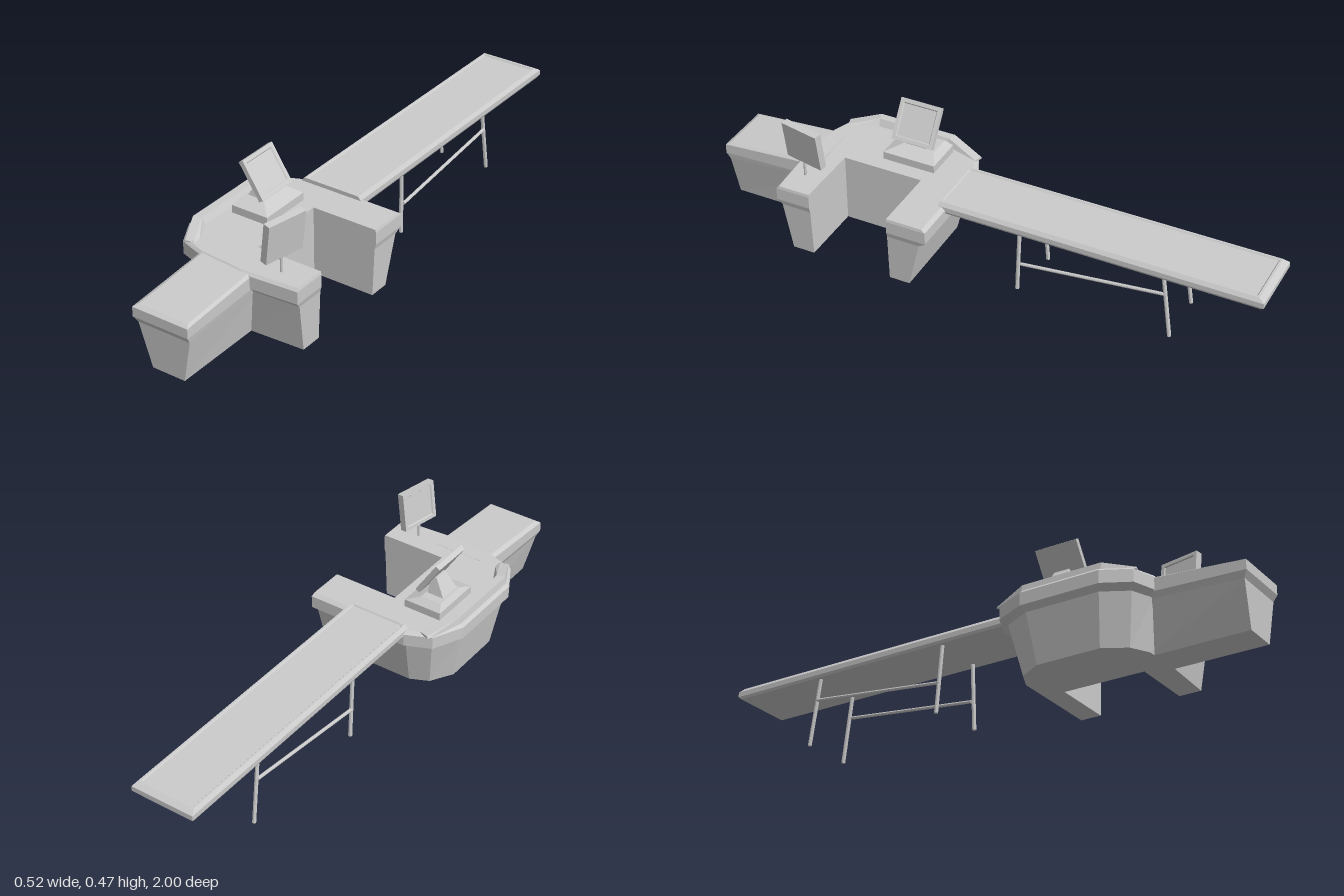
import * as THREE from 'three';

const grey = new THREE.MeshStandardMaterial({ color: 0xcccccc, flatShading: true });

// Joins rings of points (bottom to top, counterclockwise from above) and caps both ends
function loft(name, rings) {
  const pos = [];
  const tri = (...pts) => pts.forEach((p) => pos.push(...p));
  const n = rings[0].length;
  for (let r = 0; r < rings.length - 1; r++) {
    for (let i = 0; i < n; i++) {
      const j = (i + 1) % n, a = rings[r], b = rings[r + 1];
      tri(a[i], a[j], b[j]);
      tri(a[i], b[j], b[i]);
    }
  }
  const cap = (ring, up) => {
    const flat = ring.map((p) => new THREE.Vector2(p[0], -p[2]));
    for (const [a, b, c] of THREE.ShapeUtils.triangulateShape(flat, [])) {
      if (up) tri(ring[a], ring[b], ring[c]);
      else tri(ring[a], ring[c], ring[b]);
    }
  };
  cap(rings[0], false);
  cap(rings[rings.length - 1], true);
  const geo = new THREE.BufferGeometry();
  geo.setAttribute('position', new THREE.Float32BufferAttribute(pos, 3));
  geo.computeVertexNormals();
  const mesh = new THREE.Mesh(geo, grey);
  mesh.name = name;
  return mesh;
}

const rect = (x0, x1, z0, z1, y) => [[x1, y, z0], [x0, y, z0], [x0, y, z1], [x1, y, z1]];

// Round bar between two points
function bar(name, a, b, radius) {
  const from = new THREE.Vector3(...a), to = new THREE.Vector3(...b);
  const dir = to.clone().sub(from);
  const mesh = new THREE.Mesh(new THREE.CylinderGeometry(radius, radius, dir.length(), 8), grey);
  mesh.position.copy(from).add(to).multiplyScalar(0.5);
  mesh.quaternion.setFromUnitVectors(new THREE.Vector3(0, 1, 0), dir.normalize());
  mesh.name = name;
  return mesh;
}

// Flat display with a bezel and sunken panel, facing local +y
function display(name, w, d, t) {
  const r = (inset, y) => rect(-w / 2 + inset, w / 2 - inset, -d / 2 + inset, d / 2 - inset, y);
  return loft(name, [r(0, -t / 2), r(0, t / 2), r(0.013, t / 2), r(0.016, t / 2 - 0.004)]);
}

export function createModel() {
  const model = new THREE.Group();

  // Counter outline: rim x, rim z, base x, base z
  const outline = [
    [0.26, 0.12, 0.247, 0.19], [-0.12, 0.12, -0.1, 0.19], [-0.21, 0.16, -0.165, 0.22],
    [-0.262, 0.27, -0.212, 0.3], [-0.262, 0.56, -0.212, 0.53], [-0.21, 0.655, -0.165, 0.61],
    [-0.12, 0.685, -0.1, 0.645], [0.05, 0.7, 0.05, 0.65], [0.26, 0.685, 0.247, 0.64],
    [0.26, 0.56, 0.247, 0.56], [0.015, 0.56, 0.015, 0.56], [0.015, 0.265, 0.015, 0.265],
    [0.26, 0.265, 0.247, 0.265],
  ];
  const level = (t, y) => outline.map(([x, z, bx, bz]) => [x + (bx - x) * t, y, z + (bz - z) * t]);
  model.add(loft('counter', [
    level(1, 0.016), level(0.38, 0.193), level(0, 0.212), level(0, 0.257), level(0.2, 0.267),
  ]));

  // Loading section, its top sloping down toward the front
  const infeed = (x0, x1, z1, yBack, yFront) =>
    rect(x0, x1, 0.62, z1, 0).map(([x, , z]) => [x, z < 0.7 ? yBack : yFront, z]);
  model.add(loft('loadingSection', [
    infeed(-0.075, 0.05, 0.98, 0.016, 0.016), infeed(-0.117, 0.083, 0.987, 0.19, 0.173),
    infeed(-0.127, 0.087, 1, 0.21, 0.195), infeed(-0.127, 0.087, 1, 0.258, 0.23),
    infeed(-0.112, 0.078, 0.985, 0.2675, 0.239),
  ]));

  // Raised ridge along the outer edge of the counter
  const spine = [[-0.18, 0.15, 0.268], [-0.228, 0.275, 0.291], [-0.228, 0.555, 0.291], [-0.18, 0.655, 0.268]];
  const side = (dx, dz, top) => spine.map(([x, z, y], i) =>
    [x + dx, top ? y : 0.26, z + (i < 2 ? -dz : dz)]);
  const ring = (outer, inner, top) => [...side(-outer, outer * 0.3, top), ...side(inner, -inner * 0.3, top).reverse()];
  model.add(loft('edgeRidge', [ring(0.022, 0.028, false), ring(0.017, 0.012, true)]));

  // Long outfeed table with a bevelled frame and sunken belt
  model.add(loft('outfeedTable', [
    rect(-0.115, 0.112, -0.99, 0.14, 0.241), rect(-0.12, 0.117, -1, 0.145, 0.25),
    rect(-0.12, 0.117, -1, 0.145, 0.268), rect(-0.11, 0.107, -0.98, 0.145, 0.281),
    rect(-0.104, 0.1, -0.972, 0.14, 0.281), rect(-0.1, 0.096, -0.968, 0.136, 0.276),
  ]));

  // Splayed legs and sloping braces under the table
  for (const s of [-1, 1]) {
    const x = s * 0.095 - 0.005;
    const foot = s < 0 ? -0.16 : -0.135;
    model.add(bar('frontLeg', [x - s * 0.004, 0.245, -0.14], [x, 0, foot], 0.007));
    model.add(bar('rearLeg', [x - s * 0.004, 0.245, -0.65], [x, 0, -0.685], 0.007));
    model.add(bar('legBrace', [x, 0.107, -0.148], [x, 0.165, -0.662], 0.006));
  }

  // Cashier terminal: wedge base, tapered neck, tilted screen
  const terminal = new THREE.Group();
  terminal.name = 'cashierTerminal';
  terminal.add(loft('terminalBase', [
    rect(-0.182, -0.04, 0.245, 0.44, 0.262),
    rect(-0.182, -0.04, 0.245, 0.44, 0.295),
    rect(-0.168, -0.09, 0.27, 0.39, 0.315),
  ]));
  terminal.add(loft('terminalNeck', [
    rect(-0.16, -0.095, 0.3, 0.385, 0.312), rect(-0.121, -0.1, 0.315, 0.37, 0.376),
  ]));
  const screen = display('terminalScreen', 0.145, 0.155, 0.018);
  screen.position.set(-0.115, 0.395, 0.345);
  screen.rotation.z = -1.0;
  terminal.add(screen);
  model.add(terminal);

  // Customer monitor on a thin pole
  const monitor = new THREE.Group();
  monitor.name = 'customerMonitor';
  monitor.add(bar('monitorPole', [0.16, 0.26, 0.63], [0.16, 0.36, 0.63], 0.005));
  const face = display('monitorScreen', 0.142, 0.15, 0.026);
  face.position.set(0.166, 0.395, 0.625);
  face.rotation.set(0, -0.2, Math.PI / 2 - 0.135, 'YXZ');
  monitor.add(face);
  model.add(monitor);

  return model;
}
